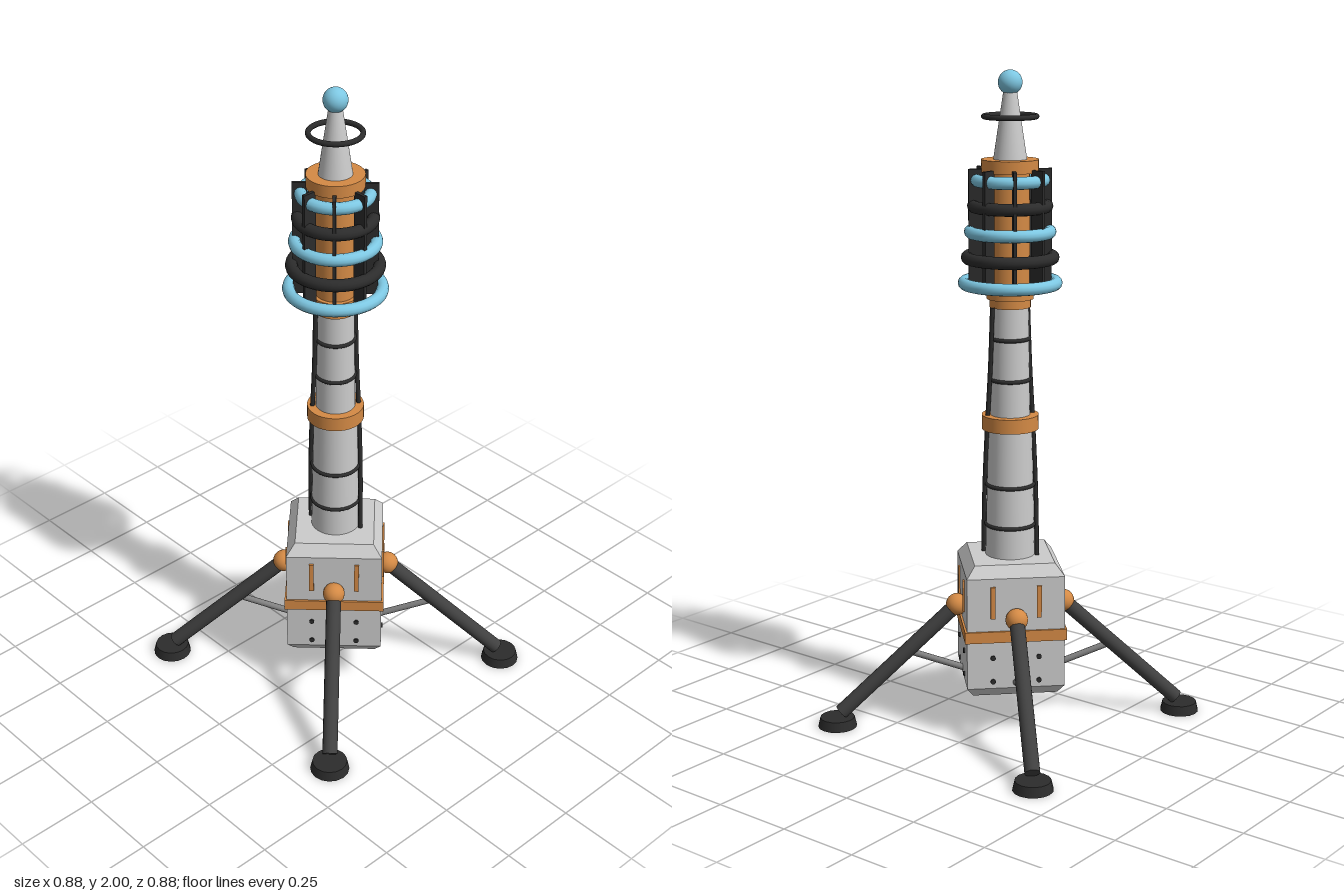
import * as THREE from 'three';

const mat = (color, flatShading = false) => new THREE.MeshStandardMaterial({ color, flatShading });
const grey = mat(0xcccccc), greyFlat = mat(0xcccccc, true);
const orange = mat(0xd48a45), orangeFlat = mat(0xd48a45, true);
const dark = mat(0x2c2c2c), legDark = mat(0x404040), steel = mat(0x808080);
const blue = mat(0x7ec8e3);

function add(parent, name, geometry, material, x = 0, y = 0, z = 0) {
  const mesh = new THREE.Mesh(geometry, material);
  mesh.name = name;
  mesh.position.set(x, y, z);
  parent.add(mesh);
  return mesh;
}

// Upright cylinder or cone between two heights
function column(parent, name, y0, y1, r0, r1, material, sides = 32) {
  return add(parent, name, new THREE.CylinderGeometry(r1, r0, y1 - y0, sides), material, 0, (y0 + y1) / 2, 0);
}

// Horizontal ring
function ring(parent, name, y, radius, tube, material) {
  const mesh = add(parent, name, new THREE.TorusGeometry(radius, tube, 12, 48), material, 0, y, 0);
  mesh.rotation.x = Math.PI / 2;
  return mesh;
}

// Straight rod between two points
function rod(parent, name, a, b, radius, material) {
  const dir = b.clone().sub(a);
  const mesh = add(parent, name, new THREE.CylinderGeometry(radius, radius, dir.length(), 16), material);
  mesh.position.copy(a).add(b).multiplyScalar(0.5);
  mesh.quaternion.setFromUnitVectors(new THREE.Vector3(0, 1, 0), dir.normalize());
  return mesh;
}

const V = (x, y, z) => new THREE.Vector3(x, y, z);

function buildBase() {
  const base = new THREE.Group();
  base.name = 'base';
  // Chamfered square housing, corners on the axes
  const profile = [[0, 0.13], [0.182, 0.13], [0.21, 0.158], [0.21, 0.505], [0.172, 0.54], [0, 0.54]]
    .map(([r, y]) => new THREE.Vector2(r, y));
  add(base, 'housing', new THREE.LatheGeometry(profile, 4), greyFlat);
  column(base, 'housingBand', 0.305, 0.34, 0.219, 0.219, orangeFlat, 4);

  // One leg assembly and one set of face details per housing side
  for (let i = 0; i < 4; i++) {
    const side = new THREE.Group();
    side.name = 'legSide';
    side.rotation.y = Math.PI / 4 + (i * Math.PI) / 2;
    base.add(side);
    // Local +z points out of the housing face
    const hip = V(0, 0.38, 0.165), ankle = V(0, 0.045, 0.525);
    add(side, 'hipJoint', new THREE.SphereGeometry(0.034, 20, 14), orange, hip.x, hip.y, hip.z);
    rod(side, 'leg', hip, ankle, 0.023, legDark);
    rod(side, 'brace', V(0, 0.172, 0.14), V(0, 0.235, 0.315), 0.01, steel);
    add(side, 'foot', new THREE.CylinderGeometry(0.053, 0.06, 0.03, 16), dark, 0, 0.015, 0.538);
    for (const x of [-0.07, 0.07]) {
      add(side, 'ventSlot', new THREE.BoxGeometry(0.014, 0.1, 0.01), orange, x, 0.43, 0.149);
      for (const y of [0.18, 0.255]) {
        const rivet = add(side, 'rivet', new THREE.CylinderGeometry(0.008, 0.008, 0.008, 10), dark, x, y, 0.149);
        rivet.rotation.x = Math.PI / 2;
      }
    }
  }
  return base;
}

function buildMast() {
  const mast = new THREE.Group();
  mast.name = 'mast';
  column(mast, 'lowerMast', 0.53, 0.94, 0.076, 0.066, grey);
  column(mast, 'midCollar', 0.933, 0.977, 0.086, 0.086, orange);
  column(mast, 'upperMast', 0.97, 1.32, 0.06, 0.055, grey);
  for (const [y, r] of [[0.635, 0.073], [0.76, 0.071], [1.085, 0.058], [1.21, 0.057]]) {
    ring(mast, 'cableClamp', y, r, 0.006, dark);
  }
  // Two cables winding down opposite sides
  for (const s of [-1, 1]) {
    const path = new THREE.CatmullRomCurve3([
      V(0.015 * s, 1.31, -0.066 * s), V(0.03 * s, 1.12, -0.058 * s),
      V(0.044 * s, 0.94, -0.056 * s), V(0.062 * s, 0.74, -0.047 * s), V(0.078 * s, 0.535, -0.033 * s),
    ]);
    add(mast, 'cable', new THREE.TubeGeometry(path, 32, 0.007, 8), dark);
  }
  return mast;
}

function buildEmitter() {
  const head = new THREE.Group();
  head.name = 'emitterHead';
  column(head, 'lowerCollarStep', 1.305, 1.335, 0.062, 0.062, orange);
  column(head, 'lowerCollar', 1.33, 1.36, 0.07, 0.07, orange);
  column(head, 'core', 1.35, 1.72, 0.058, 0.058, orange);
  column(head, 'topCollar', 1.705, 1.742, 0.085, 0.085, orange);

  // Coils shrink toward the top and alternate in colour
  for (let i = 0; i < 5; i++) {
    const isBlue = i % 2 === 0;
    ring(head, isBlue ? 'glowCoil' : 'darkCoil', 1.377 + i * 0.076, 0.137 - i * 0.0095, 0.0185, isBlue ? blue : dark);
  }
  // Radial fins holding the coils
  for (let i = 0; i < 8; i++) {
    const a = (i * Math.PI) / 4;
    const fin = add(head, 'fin', new THREE.BoxGeometry(0.01, 0.355, 0.043), dark,
      Math.sin(a) * 0.102, 1.537, Math.cos(a) * 0.102);
    fin.rotation.y = a;
  }
  // Tip
  column(head, 'spire', 1.74, 1.945, 0.05, 0.019, grey);
  ring(head, 'haloRing', 1.866, 0.077, 0.008, dark);
  add(head, 'tipOrb', new THREE.SphereGeometry(0.036, 24, 16), blue, 0, 1.964, 0);
  return head;
}

export function createModel() {
  const model = new THREE.Group();
  model.name = 'beaconTower';
  model.add(buildBase(), buildMast(), buildEmitter());
  return model;
}
